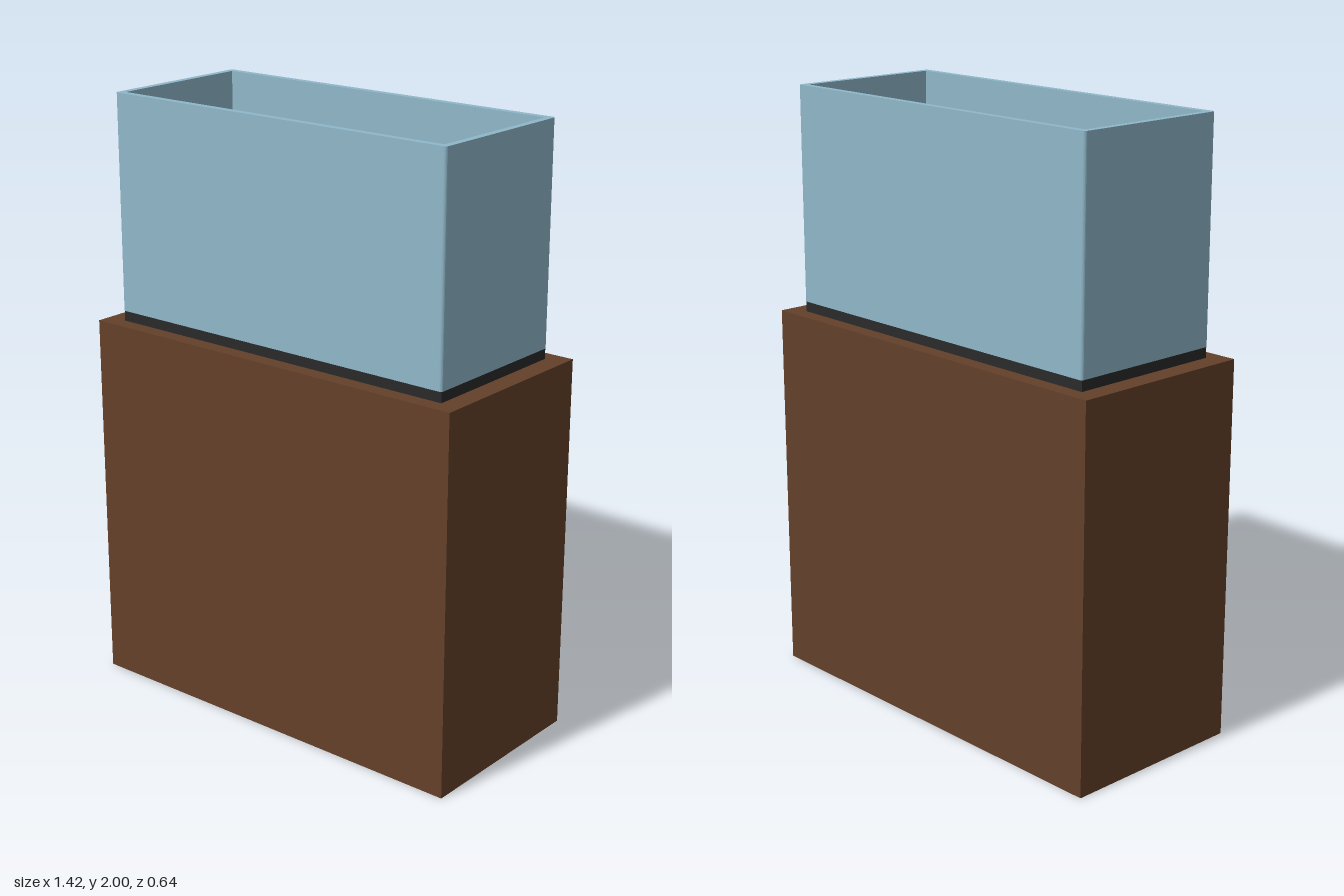
import * as THREE from 'three';

// Rounded rectangle outline centred on the origin
function roundedRect(path, hw, hd, r) {
  path.moveTo(hw, -hd + r);
  path.lineTo(hw, hd - r);
  path.absarc(hw - r, hd - r, r, 0, Math.PI / 2);
  path.absarc(-hw + r, hd - r, r, Math.PI / 2, Math.PI);
  path.absarc(-hw + r, -hd + r, r, Math.PI, Math.PI * 1.5);
  path.absarc(hw - r, -hd + r, r, Math.PI * 1.5, Math.PI * 2);
  return path;
}

export function createModel() {
  const model = new THREE.Group();

  const add = (name, geometry, color, y) => {
    const mesh = new THREE.Mesh(geometry, new THREE.MeshStandardMaterial({ color }));
    mesh.name = name;
    mesh.position.y = y;
    model.add(mesh);
    return mesh;
  };
  const box = (name, w, d, y0, y1, color) =>
    add(name, new THREE.BoxGeometry(w, y1 - y0, d), color, (y0 + y1) / 2);

  // Wooden stand and the dark mat on it
  box('cabinet', 1.42, 0.64, 0, 1.25, 0x63402a);
  box('baseMat', 1.284, 0.536, 1.25, 1.285, 0x2a2a2a);

  // Open glass tank: a hollow wall with slightly rounded outer corners
  const outline = roundedRect(new THREE.Shape(), 0.645, 0.272, 0.01);
  outline.holes.push(new THREE.Path([
    new THREE.Vector2(-0.622, -0.248), new THREE.Vector2(-0.622, 0.248),
    new THREE.Vector2(0.622, 0.248), new THREE.Vector2(0.622, -0.248),
  ]));
  const walls = new THREE.ExtrudeGeometry(outline, {
    depth: 0.715, bevelEnabled: false, curveSegments: 4,
  });
  walls.rotateX(-Math.PI / 2);
  add('glassWalls', walls, 0x8fb7c9, 1.285);

  // Water filling most of the tank
  box('water', 1.234, 0.482, 1.285, 1.85, 0x3d8db0);

  return model;
}
